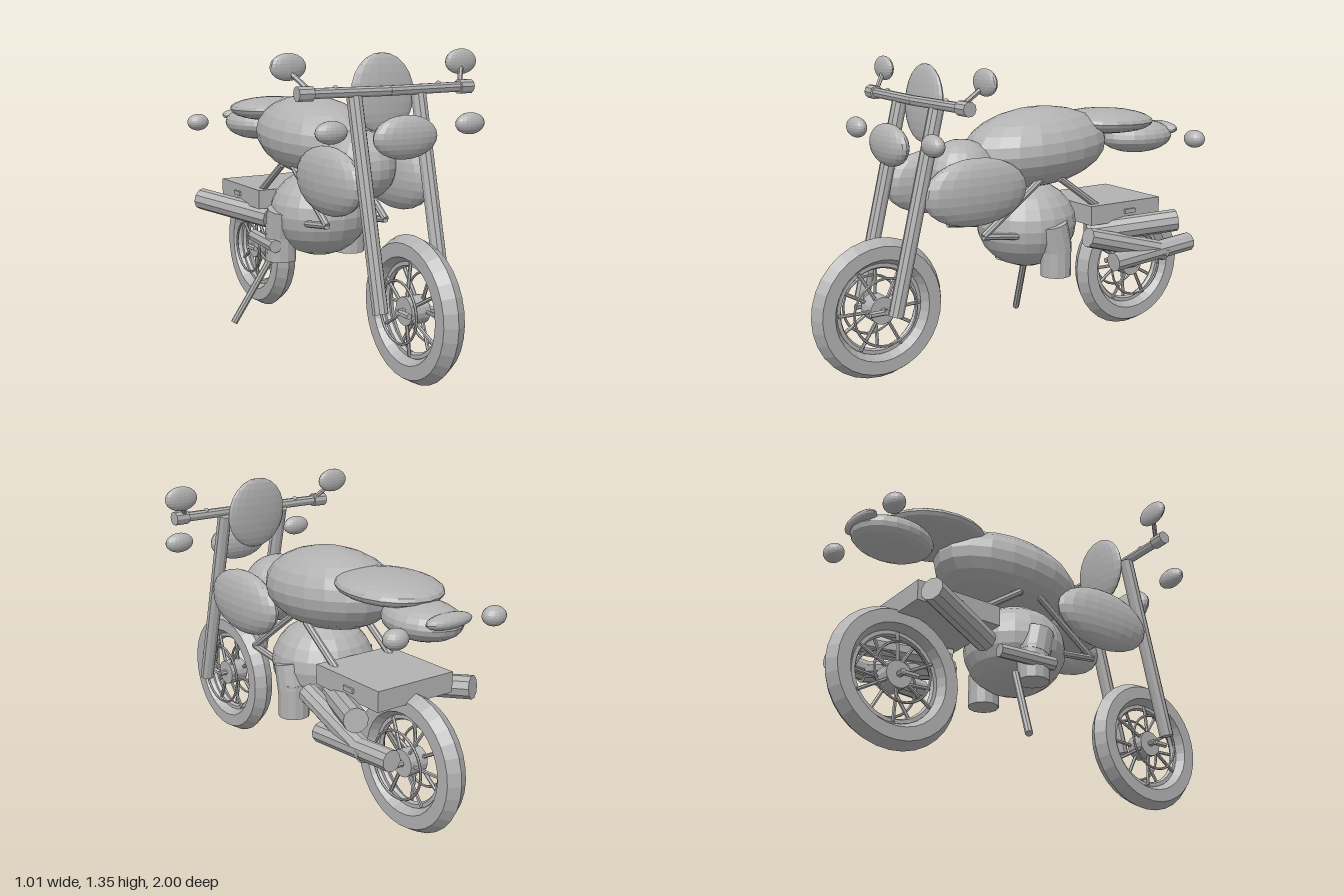
import * as THREE from 'three';

export function createModel() {
  const root = new THREE.Group();
  root.name = 'motorcycle';
  const grey = new THREE.MeshStandardMaterial({ color: 0xb2b2b2 });
  grey.flatShading = true;

  const add = (name, geometry, parent = root) => {
    const mesh = new THREE.Mesh(geometry, grey);
    mesh.name = name;
    parent.add(mesh);
    return mesh;
  };
  const ellipsoid = (name, [x, y, z], [rx, ry, rz], tilt = 0) => {
    const mesh = add(name, new THREE.SphereGeometry(1, 20, 12).scale(rx, ry, rz));
    mesh.position.set(x, y, z);
    mesh.rotation.x = tilt;
    return mesh;
  };
  // Straight rod between two points
  const rod = (name, a, b, r, sides = 8, parent = root) => {
    const from = new THREE.Vector3(...a), to = new THREE.Vector3(...b);
    const dir = to.clone().sub(from);
    const mesh = add(name, new THREE.CylinderGeometry(r, r, dir.length(), sides), parent);
    mesh.position.copy(from).add(to).multiplyScalar(0.5);
    mesh.quaternion.setFromUnitVectors(new THREE.Vector3(0, 1, 0), dir.normalize());
    return mesh;
  };
  const box = (name, [x, y, z], size) =>
    add(name, new THREE.BoxGeometry(...size)).position.set(x, y, z);

  // Wheels: six-sided tyre section, rim, hub, spokes and brake rings
  const wheel = (name, z) => {
    const g = new THREE.Group();
    g.name = name;
    g.position.set(0, 0.311, z);
    const ring = (part, R, t, sides, x = 0) => {
      const m = add(part, new THREE.TorusGeometry(R, t, sides, 32).rotateY(Math.PI / 2), g);
      m.position.x = x;
    };
    ring('tyre', 0.252, 0.058, 6);
    ring('rim', 0.192, 0.016, 6);
    ring('rightBrakeRing', 0.13, 0.006, 6, -0.073);
    ring('leftBrakeRing', 0.148, 0.006, 6, 0.072);
    rod('hub', [-0.045, 0, 0], [0.045, 0, 0], 0.06, 16, g);
    rod('axle', [-0.08, 0, 0], [0.08, 0, 0], 0.014, 8, g);
    for (let i = 0; i < 12; i++) {
      const a = (i / 12) * Math.PI * 2, c = Math.cos(a), s = Math.sin(a);
      const x = i % 2 ? 0.03 : -0.03;
      rod('spoke', [x, c * 0.05, s * 0.05], [x / 2, c * 0.195, s * 0.195], 0.008, 6, g);
    }
    for (const s of [-1, 1]) rod('axleLug', [s * 0.07, 0, 0], [s * 0.07, 0, 0.075], 0.013, 6, g);
    root.add(g);
  };
  wheel('frontWheel', 0.69);
  wheel('rearWheel', -0.69);

  // Bodywork on the centre line
  ellipsoid('fuelTank', [0, 0.94, -0.13], [0.235, 0.18, 0.37], 0.06);
  ellipsoid('frontCowl', [0, 0.85, 0.27], [0.16, 0.155, 0.17]);
  ellipsoid('seat', [0, 1.03, -0.53], [0.21, 0.058, 0.25], -0.03);
  ellipsoid('tail', [0, 0.94, -0.735], [0.145, 0.08, 0.19]);
  ellipsoid('tailLight', [0, 0.97, -0.89], [0.115, 0.032, 0.045]);
  ellipsoid('engine', [0, 0.59, -0.08], [0.23, 0.2, 0.23]);
  ellipsoid('headlight', [0, 1.01, 0.62], [0.153, 0.09, 0.05]);
  ellipsoid('windscreen', [0, 1.175, 0.45], [0.154, 0.167, 0.032], -0.08);
  box('rearFender', [0, 0.625, -0.51], [0.4, 0.09, 0.41]);

  // Mirrored parts
  for (const s of [-1, 1]) {
    const side = s > 0 ? 'left' : 'right';
    ellipsoid(side + 'Shroud', [s * 0.17, 0.8, 0.3], [0.07, 0.148, 0.26]);
    rod(side + 'Fork', [s * 0.157, 0.315, 0.69], [s * 0.157, 1.175, 0.48], 0.033, 10);
    rod(side + 'Handlebar', [0, 1.188, 0.5], [s * 0.37, 1.19, 0.488], 0.022, 10);
    rod(side + 'Grip', [s * 0.355, 1.19, 0.488], [s * 0.422, 1.19, 0.485], 0.031, 10);
    ellipsoid(side + 'BarKnob', [s * 0.25, 1.207, 0.49], [0.012, 0.012, 0.012]);
    rod(side + 'MirrorStem', [s * 0.365, 1.2, 0.485], [s * 0.42, 1.275, 0.42], 0.011, 6);
    ellipsoid(side + 'Mirror', [s * 0.422, 1.292, 0.414], [0.081, 0.055, 0.026]);
    ellipsoid(side + 'FrontIndicator', [s * 0.335, 1.046, 0.603], [0.071, 0.046, 0.038]);
    ellipsoid(side + 'RearIndicator', [s * 0.257, 0.942, -0.878], [0.055, 0.042, 0.045]);
    // Engine side cylinders
    rod(side + 'LowerCylinder', [s * 0.185, 0.375, -0.115], [s * 0.185, 0.53, -0.115], 0.07, 12);
    rod(side + 'UpperCylinder', [s * 0.185, 0.5, -0.115], [s * 0.185, 0.615, -0.09], 0.072, 12);
    // Frame tubes
    rod(side + 'DownTube', [s * 0.15, 0.82, -0.06], [s * 0.15, 0.595, 0.25], 0.016);
    rod(side + 'LowerTube', [s * 0.15, 0.595, 0.25], [s * 0.15, 0.57, 0.05], 0.016);
    rod(side + 'RearTube', [s * 0.15, 0.81, -0.16], [s * 0.15, 0.59, -0.47], 0.016);
    box(side + 'FenderBracket', [s * 0.2, 0.625, -0.53], [0.02, 0.02, 0.06]);
    rod(side + 'UpperExhaust', [s * 0.13, 0.53, -0.33], [s * 0.315, 0.577, -0.72], 0.052, 10);
  }

  // Lower exhaust on the left, with its silencer
  rod('lowerExhaust', [0.22, 0.535, -0.27], [0.25, 0.415, -0.71], 0.046, 10);
  rod('lowerSilencer', [0.25, 0.405, -0.4], [0.25, 0.44, -0.865], 0.045, 10);

  // Right footrest pipe and side stand
  rod('rightPipe', [-0.245, 0.455, -0.05], [-0.22, 0.455, -0.32], 0.03, 8);
  rod('sideStand', [-0.17, 0.4, -0.2], [-0.355, 0.06, -0.268], 0.016, 8);

  return root;
}
